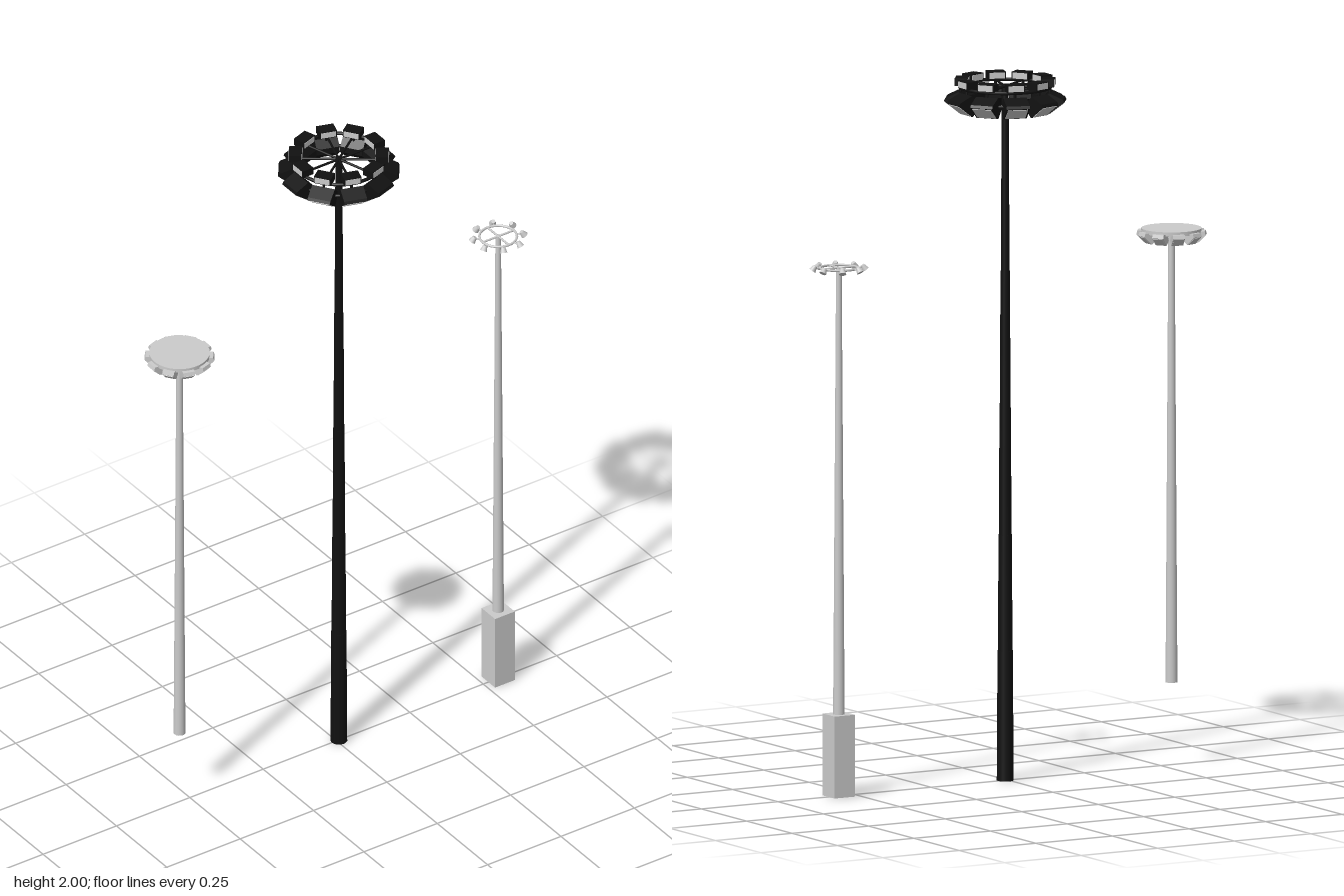
import * as THREE from 'three';

const grey = new THREE.MeshStandardMaterial({ color: 0xcccccc });
const black = new THREE.MeshStandardMaterial({ color: 0x111111 });

function add(parent, name, geometry, material, x = 0, y = 0, z = 0) {
  const mesh = new THREE.Mesh(geometry, material);
  mesh.name = name;
  mesh.position.set(x, y, z);
  parent.add(mesh);
  return mesh;
}

// Repeats a part around the mast; local +x points outward
function around(parent, name, count, offset, build) {
  for (let i = 0; i < count; i++) {
    const arm = new THREE.Group();
    arm.name = name;
    arm.rotation.y = offset + (i * Math.PI * 2) / count;
    build(arm);
    parent.add(arm);
  }
}

// Side profile in (radius, height), extruded to a width
function housing(points, width) {
  const shape = new THREE.Shape(points.map(([x, y]) => new THREE.Vector2(x, y)));
  return new THREE.ExtrudeGeometry(shape, { depth: width, bevelEnabled: false }).translate(0, 0, -width / 2);
}

// Flat glass laid just off the edge between two profile points
function glass(a, b, width) {
  const dx = b[0] - a[0], dy = b[1] - a[1], len = Math.hypot(dx, dy);
  return new THREE.BoxGeometry(len * 0.86, 0.002, width * 0.86)
    .rotateZ(Math.atan2(dy, dx))
    .translate((a[0] + b[0]) / 2 + dy / len * 0.0005, (a[1] + b[1]) / 2 - dx / len * 0.0005, 0);
}

function bar(x0, x1, radius, y) {
  return new THREE.CylinderGeometry(radius, radius, x1 - x0, 8).rotateZ(Math.PI / 2).translate((x0 + x1) / 2, y, 0);
}

function ring(radius, tube, segments = 48) {
  return new THREE.TorusGeometry(radius, tube, 8, segments).rotateX(Math.PI / 2);
}

// Tall mast with two tiers of floodlights
function tallMast() {
  const mast = new THREE.Group();
  mast.name = 'tallMast';
  const steps = [0, 0.37, 0.7, 1.06, 1.45, 1.98];
  const radii = [0.024, 0.021, 0.018, 0.0155, 0.0125, 0.009];
  for (let i = 0; i < 5; i++) {
    const h = steps[i + 1] - steps[i];
    add(mast, 'poleSection', new THREE.CylinderGeometry(radii[i + 1] + 0.0008, radii[i], h, 16), black, 0, steps[i] + h / 2);
  }
  add(mast, 'upperRing', ring(0.128, 0.005), black, 0, 1.975);
  add(mast, 'lowerRing', ring(0.125, 0.005), black, 0, 1.935);

  const profile = [[0.104, 1.925], [0.126, 1.902], [0.17, 1.936], [0.166, 1.944], [0.128, 1.962], [0.106, 1.942]];
  const body = housing(profile, 0.067);
  const lens = glass(profile[1], profile[2], 0.067);
  const spoke = bar(0, 0.128, 0.0035, 1.975);
  const post = new THREE.CylinderGeometry(0.004, 0.004, 0.045, 8);
  const box = new THREE.BoxGeometry(0.036, 0.022, 0.05);
  const panel = new THREE.BoxGeometry(0.002, 0.017, 0.044);
  around(mast, 'floodlight', 10, 0, (arm) => {
    add(arm, 'spoke', spoke, black);
    add(arm, 'post', post, black, 0.126, 1.955);
    add(arm, 'lowerHousing', body, black);
    add(arm, 'lowerLens', lens, grey);
    add(arm, 'upperHousing', box, black, 0.122, 1.989);
    add(arm, 'upperLens', panel, grey, 0.1402, 1.989);
    add(arm, 'innerPanel', panel, grey, 0.1038, 1.989);
  });
  mast.position.x = 0.008;
  return mast;
}

// Mast with a disc canopy and lamps under its rim
function discMast() {
  const mast = new THREE.Group();
  mast.name = 'discMast';
  add(mast, 'pole', new THREE.CylinderGeometry(0.009, 0.017, 1.285, 16), grey, 0, 0.8775);
  add(mast, 'canopy', new THREE.CylinderGeometry(0.085, 0.085, 0.012, 48), grey, 0, 1.522);
  const profile = [[0.058, 1.5], [0.074, 1.488], [0.098, 1.511], [0.095, 1.521], [0.068, 1.521]];
  const body = housing(profile, 0.034);
  const lens = glass(profile[1], profile[2], 0.034);
  around(mast, 'lamp', 10, 0, (arm) => {
    add(arm, 'lampHousing', body, grey);
    add(arm, 'lampLens', lens, grey);
  });
  mast.position.x = -0.535;
  return mast;
}

// Mast on a block with an open ring of small lamps
function ringMast() {
  const mast = new THREE.Group();
  mast.name = 'ringMast';
  add(mast, 'baseBlock', new THREE.BoxGeometry(0.067, 0.233, 0.067), grey, 0, 0.1165);
  add(mast, 'pole', new THREE.CylinderGeometry(0.008, 0.0165, 1.275, 16), grey, 0, 0.8675);
  add(mast, 'lampRing', ring(0.053, 0.0035, 32), grey, 0, 1.503);
  const spoke = bar(0, 0.053, 0.003, 1.503);
  around(mast, 'spokeArm', 4, 0, (arm) => add(arm, 'spoke', spoke, grey));
  const stem = bar(0.053, 0.066, 0.002, 1.503);
  const head = new THREE.CylinderGeometry(0.006, 0.0105, 0.016, 12).rotateZ(0.6);
  around(mast, 'smallLamp', 8, Math.PI / 8, (arm) => {
    add(arm, 'stem', stem, grey);
    add(arm, 'lampHead', head, grey, 0.071, 1.503);
  });
  mast.position.x = 0.551;
  return mast;
}

export function createModel() {
  const model = new THREE.Group();
  model.name = 'floodlightMasts';
  model.add(tallMast(), discMast(), ringMast());
  return model;
}
